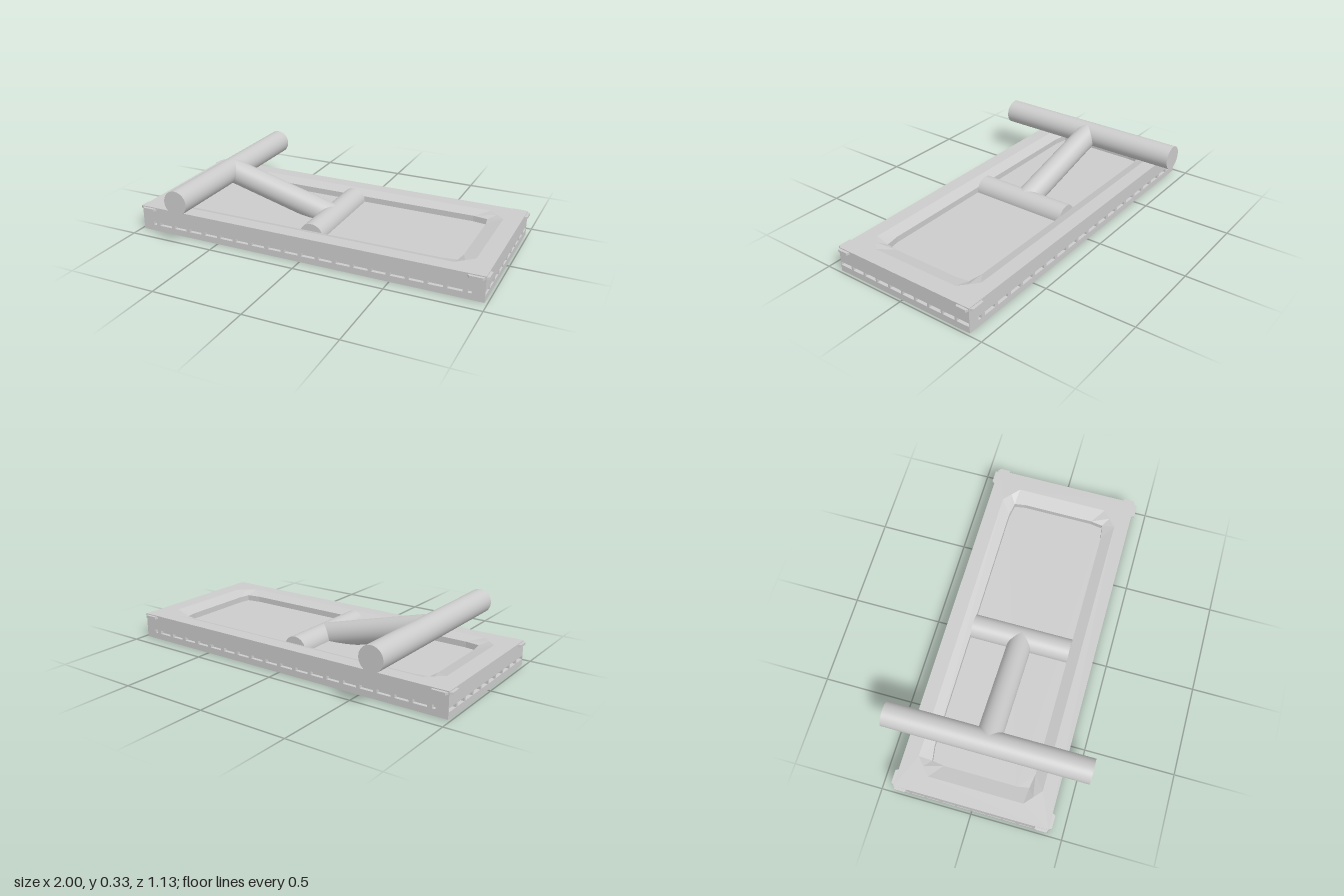
import * as THREE from 'three';

const grey = new THREE.MeshStandardMaterial({ color: 0xcccccc });
const thin = new THREE.MeshStandardMaterial({ color: 0xcccccc, side: THREE.DoubleSide });

const HX = 0.985, HZ = 0.42, TOP = 0.14; // body half sizes and height
const SLOT_LOW = 0.035, SLOT_HIGH = 0.055, SLOT_DEPTH = 0.02;
const ROD = 0.068;

function add(parent, name, geometry, material = grey) {
  const mesh = new THREE.Mesh(geometry, material);
  mesh.name = name;
  parent.add(mesh);
  return mesh;
}

// Box given by its limits on each axis
function boxBetween(x0, x1, y0, y1, z0, z1) {
  return new THREE.BoxGeometry(x1 - x0, y1 - y0, z1 - z0)
    .translate((x0 + x1) / 2, (y0 + y1) / 2, (z0 + z1) / 2);
}

// Mirrors the points of one corner into a closed loop of [x, z]
function cornerLoop(corner) {
  const back = [...corner].reverse();
  return [[1, 1, back], [-1, 1, corner], [-1, -1, back], [1, -1, corner]]
    .flatMap(([sx, sz, pts]) => pts.map(([x, z]) => [x * sx, z * sz]));
}

const toVectors = (loop) => loop.map(([x, z]) => new THREE.Vector2(x, -z));

// Faceted band from an upper loop to a lower one
function band(upper, yUpper, lower, yLower) {
  const pos = [];
  upper.forEach((a, i) => {
    const j = (i + 1) % upper.length;
    const A0 = [a[0], yUpper, a[1]], A1 = [upper[j][0], yUpper, upper[j][1]];
    const B0 = [lower[i][0], yLower, lower[i][1]], B1 = [lower[j][0], yLower, lower[j][1]];
    pos.push(...A0, ...B0, ...A1, ...A1, ...B0, ...B1);
  });
  const geo = new THREE.BufferGeometry();
  geo.setAttribute('position', new THREE.Float32BufferAttribute(pos, 3));
  geo.computeVertexNormals();
  return geo;
}

// Round bar between two points
function rod(parent, name, from, to) {
  const dir = to.clone().sub(from);
  const mesh = add(parent, name, new THREE.CylinderGeometry(ROD, ROD, dir.length(), 48));
  mesh.position.copy(from).add(to).multiplyScalar(0.5);
  mesh.quaternion.setFromUnitVectors(new THREE.Vector3(0, 1, 0), dir.normalize());
}

// Solid pieces left between slots along a line from -end to end
function gapsBetween(slots, end) {
  const gaps = [];
  let start = -end;
  for (const [a, b] of slots) {
    gaps.push([start, a]);
    start = b;
  }
  gaps.push([start, end]);
  return gaps;
}

function row(count, pitch, width) {
  return Array.from({ length: count }, (_, i) => {
    const c = (i - (count - 1) / 2) * pitch;
    return [c - width / 2, c + width / 2];
  });
}

function buildBody() {
  const body = new THREE.Group();
  body.name = 'body';
  add(body, 'bottomPlate', boxBetween(-HX, HX, 0, SLOT_LOW, -HZ, HZ));

  // Rim with the recess opening
  const opening = cornerLoop([[0.8, 0.34], [0.845, 0.3], [0.89, 0.26]]);
  const inner = cornerLoop([[0.72, 0.28], [0.8, 0.267], [0.81, 0.2]]);
  const outline = new THREE.Shape(toVectors([[HX, HZ], [-HX, HZ], [-HX, -HZ], [HX, -HZ]]));
  outline.holes.push(new THREE.Path(toVectors(opening)));
  const rim = new THREE.ExtrudeGeometry(outline, { depth: TOP - SLOT_HIGH, bevelEnabled: false });
  add(body, 'rim', rim.rotateX(-Math.PI / 2).translate(0, SLOT_HIGH, 0));

  // Recess: sloping border, short wall and floor
  add(body, 'recessSlope', band(opening, TOP, inner, 0.118), thin);
  add(body, 'recessWall', band(inner, 0.118, inner, 0.085), thin);
  const floor = new THREE.ShapeGeometry(new THREE.Shape(toVectors(inner)));
  add(body, 'recessFloor', floor.rotateX(-Math.PI / 2).translate(0, 0.085, 0), thin);

  // Slotted seam: recessed core with dividers between the slots
  const cx = HX - SLOT_DEPTH, cz = HZ - SLOT_DEPTH;
  add(body, 'seamCore', boxBetween(-cx, cx, SLOT_LOW, SLOT_HIGH, -cz, cz));
  const longSlots = [[-0.92, -0.9], ...row(18, 0.0985, 0.077), [0.9, 0.92]];
  const shortSlots = row(10, 0.0845, 0.073);
  for (const s of [-1, 1]) {
    for (const [a, b] of gapsBetween(longSlots, cx)) {
      const z = [s * cz, s * HZ].sort((p, q) => p - q);
      add(body, 'longSeamDivider', boxBetween(a, b, SLOT_LOW, SLOT_HIGH, z[0], z[1]));
    }
    for (const [a, b] of gapsBetween(shortSlots, HZ)) {
      const x = [s * cx, s * HX].sort((p, q) => p - q);
      add(body, 'shortSeamDivider', boxBetween(x[0], x[1], SLOT_LOW, SLOT_HIGH, a, b));
    }
  }
  return body;
}

// Thin tab with tapered ends, lying flat and pointing to +z
function tabGeometry(length) {
  const h = length / 2;
  const shape = new THREE.Shape([[-h, 0], [h, 0], [h - 0.008, -0.016], [-h + 0.008, -0.016]]
    .map(([x, y]) => new THREE.Vector2(x, y)));
  return new THREE.ExtrudeGeometry(shape, { depth: 0.013, bevelEnabled: false }).rotateX(-Math.PI / 2);
}

function buildTabs() {
  const tabs = new THREE.Group();
  tabs.name = 'cornerTabs';
  for (const sx of [-1, 1]) {
    for (const sz of [-1, 1]) {
      const long = add(tabs, 'longSideTab', tabGeometry(0.085));
      long.position.set(sx * 0.937, 0.122, sz * HZ);
      long.rotation.y = sz > 0 ? 0 : Math.PI;
      const short = add(tabs, 'shortSideTab', tabGeometry(0.072));
      short.position.set(sx * (HX - 0.001), 0.122, sz * 0.383);
      short.rotation.y = sx * Math.PI / 2;
    }
  }
  return tabs;
}

export function createModel() {
  const model = new THREE.Group();
  model.name = 'lever plate';
  model.add(buildBody(), buildTabs());

  // Pivot, arm and crossbar handle
  const lever = new THREE.Group();
  lever.name = 'lever';
  const at = (x, y, z) => new THREE.Vector3(x, y, z);
  rod(lever, 'pivot', at(0, 0.09, -0.28), at(0, 0.09, 0.28));
  rod(lever, 'arm', at(0, 0.09, 0), at(-0.655, 0.265, 0));
  rod(lever, 'handle', at(-0.655, 0.265, -0.563), at(-0.655, 0.265, 0.563));
  model.add(lever);
  return model;
}
